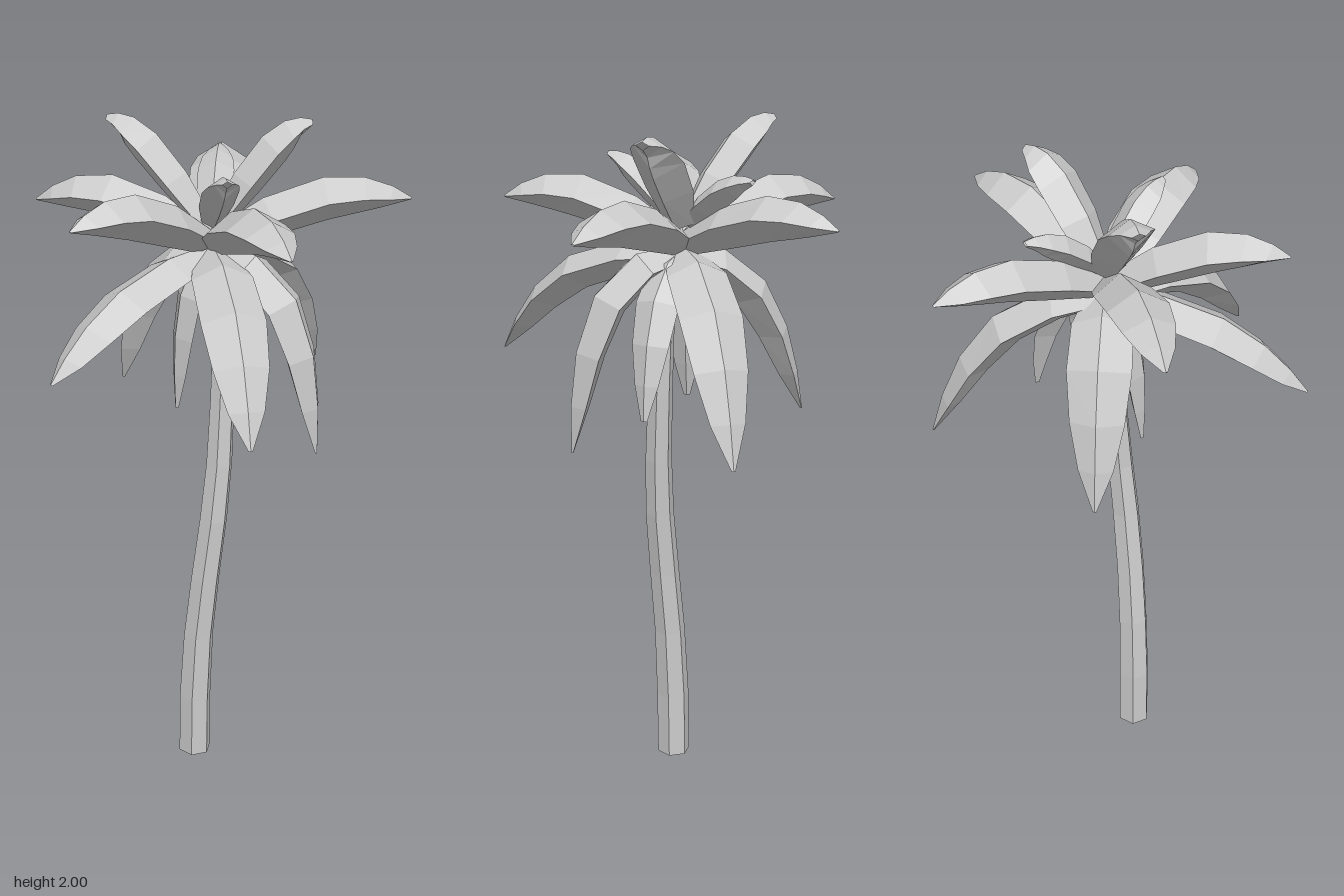
import * as THREE from 'three';

const material = new THREE.MeshStandardMaterial({
  color: 0xcccccc, flatShading: true, side: THREE.DoubleSide,
});
const v = (x, y, z) => new THREE.Vector3(x, y, z);

// Skin closed rings of points into a flat-shaded tube, open at the ends
function skin(rings) {
  const n = rings[0].length;
  const index = [];
  for (let i = 0; i < rings.length - 1; i++) {
    for (let j = 0; j < n; j++) {
      const a = i * n + j, b = i * n + (j + 1) % n;
      index.push(a, b, a + n, b, b + n, a + n);
    }
  }
  const geometry = new THREE.BufferGeometry().setFromPoints(rings.flat());
  geometry.setIndex(index);
  const flat = geometry.toNonIndexed();
  flat.computeVertexNormals();
  return flat;
}

// Leaning six-sided trunk: centre x, y, z and radius per ring
function trunkGeometry() {
  const stations = [
    [0.03, 0, 0.055, 0.05], [0.032, 0.2, 0.055, 0.05], [0.042, 0.42, 0.05, 0.047],
    [0.06, 0.62, 0.04, 0.045], [0.078, 0.82, 0.024, 0.043], [0.085, 1.0, 0.007, 0.04],
    [0.083, 1.2, -0.008, 0.037], [0.077, 1.4, -0.02, 0.034], [0.06, 1.62, -0.03, 0.03],
  ];
  return skin(stations.map(([x, y, z, r]) => Array.from({ length: 6 }, (_, k) => {
    const a = -k * Math.PI / 3;
    return v(x + r * Math.cos(a), y, z + r * Math.sin(a));
  })));
}

// Thick frond: ridge along an arched curve, two side edges and a keel below
function frondGeometry({ tip, arch, reach, root, width, depth, blunt }) {
  const base = v(0.02, root, -0.03);
  const end = v(...tip);
  const control = base.clone().lerp(end, reach).setY(arch);
  const curve = new THREE.QuadraticBezierCurve3(base, control, end);
  const side = v(end.z - base.z, 0, base.x - end.x).normalize();
  const profile = [[0, 0.6], [0.22, 0.95], [0.5, 1], [0.72, 0.85], [0.88, 0.55], [1, blunt]];
  return skin(profile.map(([t, w]) => {
    const ridge = curve.getPoint(t);
    const down = curve.getTangent(t).cross(side).normalize().negate();
    const point = (s, d) => ridge.clone()
      .addScaledVector(side, s * width * w).addScaledVector(down, d * depth * w);
    return [point(0, 0), point(-1, 0.42), point(0, 1), point(1, 0.42)];
  }));
}

// Each frond: tip position, height of the arch and how far out it lies
const crown = {
  upperFrond: { root: 1.73, width: 0.075, depth: 0.1, blunt: 0.25, list: [
    [[-0.275, 1.99, 0.075], 2.04, 0.55],
    [[0.19, 1.99, -0.26], 2.04, 0.5],
  ] },
  innerFrond: { root: 1.73, width: 0.052, depth: 0.075, blunt: 0.25, list: [
    [[0.2, 1.9, 0.115], 1.92, 0.5],
    [[-0.125, 1.87, -0.235], 1.9, 0.5],
  ] },
  spreadingFrond: { root: 1.69, width: 0.085, depth: 0.125, blunt: 0.06, list: [
    [[-0.295, 1.77, -0.46], 1.93, 0.6],
    [[0.415, 1.77, -0.435], 1.94, 0.6],
    [[-0.49, 1.72, 0.155], 1.93, 0.6],
    [[0.488, 1.77, 0.2], 1.95, 0.6],
    [[-0.04, 1.8, 0.47], 1.96, 0.6],
  ] },
  droopingFrond: { root: 1.65, width: 0.09, depth: 0.105, blunt: 0.06, list: [
    [[0.01, 1.15, -0.54], 1.69, 0.75],
    [[-0.06, 1.38, 0.54], 1.66, 0.65],
    [[0.48, 1.28, 0.345], 1.7, 0.73],
    [[0.365, 1.08, -0.095], 1.7, 1.05],
    [[-0.34, 1.14, -0.04], 1.67, 0.85],
  ] },
  hangingFrond: { root: 1.64, width: 0.065, depth: 0.07, blunt: 0.15, list: [
    [[-0.02, 1.17, 0.08], 1.62, 1.2],
    [[0.19, 1.21, -0.25], 1.65, 0.95],
  ] },
};

export function createModel() {
  const group = new THREE.Group();
  group.name = 'palmTree';
  const add = (name, geometry) => {
    const mesh = new THREE.Mesh(geometry, material);
    mesh.name = name;
    group.add(mesh);
  };
  add('trunk', trunkGeometry());
  for (const [name, { list, ...shape }] of Object.entries(crown)) {
    list.forEach(([tip, arch, reach], i) => {
      add(name + (i + 1), frondGeometry({ tip, arch, reach, ...shape }));
    });
  }
  return group;
}
